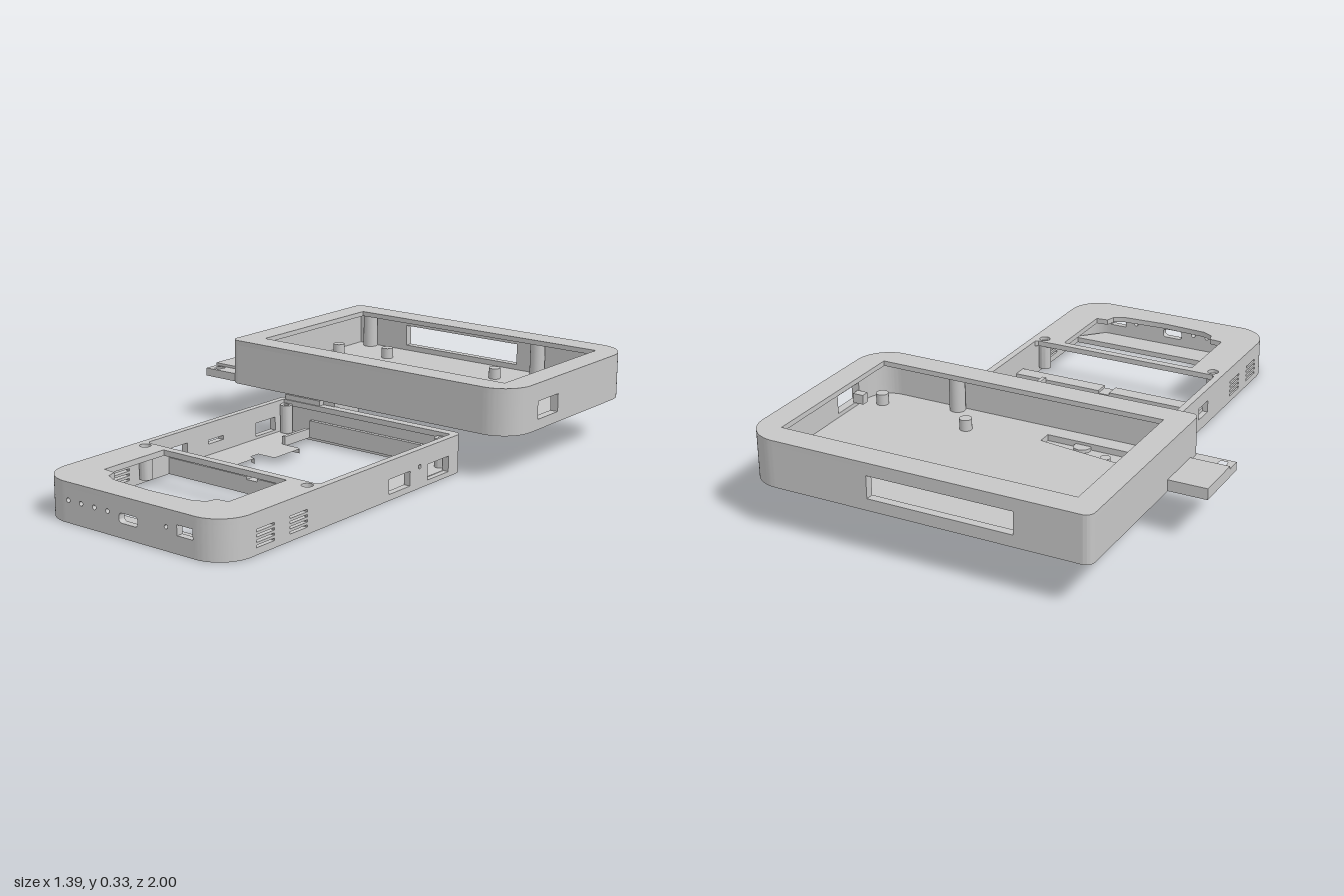
import * as THREE from 'three';
import { toCreasedNormals } from 'three/addons/utils/BufferGeometryUtils.js';

const casing = new THREE.MeshStandardMaterial({ color: 0xc6c6c6 });
casing.name = 'light grey casing';

function add(group, name, geometry, x = 0, y = 0, z = 0) {
  const mesh = new THREE.Mesh(geometry, casing);
  mesh.name = name;
  mesh.position.set(x, y, z);
  group.add(mesh);
  return mesh;
}

const extrude = (shape, depth) => toCreasedNormals(
  new THREE.ExtrudeGeometry(shape, { depth, bevelEnabled: false, curveSegments: 14 }), 0.5);

// Box given by its limits
const block = (group, name, x0, x1, y0, y1, z0, z1) => add(group, name,
  new THREE.BoxGeometry(x1 - x0, y1 - y0, z1 - z0), (x0 + x1) / 2, (y0 + y1) / 2, (z0 + z1) / 2);

const post = (group, name, x, z, r, y0, y1) => add(group, name,
  new THREE.CylinderGeometry(r, r, y1 - y0, 20), x, (y0 + y1) / 2, z);

// Horizontal plate between two heights; shapes are drawn in (x, -z)
const plate = (group, name, shape, y0, y1) =>
  add(group, name, extrude(shape, y1 - y0).rotateX(-Math.PI / 2), 0, y0, 0);

const polygon = (pts) => new THREE.Shape(pts.map(([x, z]) => new THREE.Vector2(x, -z)));
const rect = (a, b, c, d) => new THREE.Path(
  [[a, c], [b, c], [b, d], [a, d]].map(([u, v]) => new THREE.Vector2(u, v)));
const circle = (x, y, r) => new THREE.Path().absarc(x, y, r, 0, Math.PI * 2, true);

// Rounded corners in order: back +x, back -x, front -x, front +x
function corners({ x0, x1, z0, z1, radii: [a, b, c, d] }) {
  return [[x1 - a, -z0 - a, a], [x0 + b, -z0 - b, b], [x0 + c, -z1 + c, c], [x1 - d, -z1 + d, d]];
}

function outline(box) {
  const shape = new THREE.Shape();
  corners(box).forEach(([x, y, r], i) =>
    shape.absarc(x, y, r, i * Math.PI / 2, (i + 1) * Math.PI / 2, false));
  shape.closePath();
  return shape;
}

// Upright walls with openings per side, joined by rounded corners
function walls(group, name, box, y0, y1, t, holes) {
  const { x0, x1, z0, z1, radii: [a, b, c, d] } = box;
  const panel = (u0, u1, side) => {
    const shape = new THREE.Shape(rect(u0, u1, y0, y1).getPoints());
    shape.holes.push(...(holes[side] || []));
    return extrude(shape, t);
  };
  add(group, name + 'FrontWall', panel(x0 + c, x1 - d, 'front'), 0, 0, z1 - t);
  add(group, name + 'BackWall', panel(x0 + b, x1 - a, 'back'), 0, 0, z0);
  add(group, name + 'LeftWall', panel(z0 + a, z1 - d, 'left').rotateY(-Math.PI / 2), x1);
  add(group, name + 'RightWall', panel(z0 + b, z1 - c, 'right').rotateY(-Math.PI / 2), x0 + t);
  corners(box).forEach(([x, y, r], i) => {
    const s = i * Math.PI / 2, e = s + Math.PI / 2;
    const arc = new THREE.Shape().absarc(x, y, r, s, e, false);
    arc.absarc(x, y, Math.max(r - t, 0.004), e, s, true);
    plate(group, name + 'Corner', arc, y0, y1);
  });
}

function createBase() {
  const base = new THREE.Group();
  base.name = 'base';
  const box = { x0: -0.33, x1: 0.468, z0: -0.245, z1: 1, radii: [0.03, 0.03, 0.12, 0.12] };

  // Side openings: vents, ports and pin holes
  const vents = () => [0.61, 0.77].flatMap((z) =>
    [0.024, 0.041, 0.058, 0.075].map((y) => rect(z, z + 0.085, y, y + 0.008)));
  const socket = outline({ x0: 0.03, x1: 0.11, z0: -0.083, z1: -0.05, radii: [0.012, 0.012, 0.012, 0.012] });
  walls(base, 'base', box, 0, 0.118, 0.025, {
    front: [
      ...[-0.195, -0.137, -0.078, -0.02].map((x) => circle(x, 0.077, 0.008)),
      socket, circle(0.23, 0.079, 0.007), rect(0.275, 0.34, 0.06, 0.095),
    ],
    left: [...vents(), rect(0.06, 0.18, 0.022, 0.074), circle(0.005, 0.077, 0.008),
      rect(-0.165, -0.04, 0.018, 0.074)],
    right: [...vents(), rect(0.32, 0.4, 0.045, 0.09), rect(0.13, 0.21, 0.06, 0.075),
      rect(-0.16, -0.05, 0.03, 0.08)],
  });

  // Top cover with the large bay, front window and screw holes
  const cover = outline(box);
  const screws = [[-0.285, 0.55], [0.42, 0.55]];
  cover.holes.push(
    polygon([[-0.305, -0.21], [0.442, -0.21], [0.442, 0.51], [0.432, 0.52], [-0.295, 0.52], [-0.305, 0.51]]),
    polygon([[-0.2, 0.55], [0.335, 0.55], [0.335, 0.83], [0.29, 0.835], [0.28, 0.87], [0.24, 0.89],
      [0.07, 0.9], [-0.1, 0.89], [-0.14, 0.87], [-0.15, 0.835], [-0.2, 0.83]]),
    ...screws.map(([x, z]) => circle(x, -z, 0.02)));
  plate(base, 'topCover', cover, 0.118, 0.138);

  // Floor lip along the front end
  plate(base, 'frontLip', polygon([[-0.31, 0.875], [0.448, 0.875], [0.448, 0.89], [0.36, 0.98],
    [-0.22, 0.98], [-0.31, 0.89]]), 0, 0.02);

  // Floor with a cutout around the board tab
  const floor = polygon([[-0.31, -0.23], [0.448, -0.23], [0.448, 0.415], [-0.31, 0.415]]);
  floor.holes.push(polygon([[-0.175, -0.2], [0.315, -0.2], [0.315, 0.36], [-0.15, 0.36], [-0.15, 0.14],
    [-0.175, 0.13], [-0.175, 0.09], [-0.11, 0.09], [-0.1, 0.08], [-0.1, -0.05], [-0.11, -0.06], [-0.175, -0.06]]));
  plate(base, 'floor', floor, 0, 0.02);

  // Rims and cross bar around the cutout
  block(base, 'crossBar', -0.31, 0.05, 0.015, 0.06, 0.36, 0.415);
  block(base, 'crossBar', 0.095, 0.448, 0.015, 0.06, 0.36, 0.415);
  block(base, 'crossBarNotch', 0.05, 0.095, 0.015, 0.05, 0.36, 0.415);
  block(base, 'cutoutRim', 0.315, 0.33, 0.015, 0.07, -0.2, 0.36);
  block(base, 'cutoutRim', -0.175, 0.33, 0.015, 0.08, -0.215, -0.2);
  block(base, 'cutoutRim', -0.19, -0.175, 0.015, 0.05, -0.2, -0.06);
  post(base, 'standoff', 0.41, 0.24, 0.045, 0.015, 0.03);

  // Hollow screw bosses
  [...screws, [-0.28, -0.195], [0.415, -0.195]].forEach(([x, z]) => {
    const ring = new THREE.Shape().absarc(x, -z, 0.023, 0, Math.PI * 2, false);
    ring.holes.push(circle(x, -z, 0.01));
    plate(base, 'screwBoss', ring, 0.02, 0.125);
  });
  block(base, 'sideButton', -0.337, -0.325, 0.075, 0.125, 0.02, 0.11);
  return base;
}

function createHinge() {
  const hinge = new THREE.Group();
  hinge.name = 'hinge';
  block(hinge, 'hingeBlock', -0.23, -0.09, 0, 0.158, -0.385, -0.24);
  block(hinge, 'hingeKnuckle', -0.325, -0.23, 0.03, 0.138, -0.36, -0.24);
  block(hinge, 'hingeLeaf', -0.33, -0.04, 0.156, 0.163, -0.365, -0.28);
  block(hinge, 'hingeBridge', -0.3, -0.14, 0.138, 0.157, -0.3, -0.215);
  post(hinge, 'hingePivot', -0.175, -0.305, 0.03, 0.16, 0.175);
  post(hinge, 'hingeScrew', -0.285, -0.355, 0.018, 0.16, 0.18);
  add(hinge, 'hingePin', new THREE.CylinderGeometry(0.03, 0.03, 0.26, 20).rotateZ(Math.PI / 2), -0.21, 0.05, -0.29);
  return hinge;
}

function createScreenCase() {
  const screen = new THREE.Group();
  screen.name = 'screenCase';
  const box = { x0: -0.555, x1: 0.695, z0: -1, z1: -0.205, radii: [0.12, 0.03, 0.03, 0.12] };
  walls(screen, 'screen', box, 0.163, 0.312, 0.03, {
    back: [rect(-0.295, 0.225, 0.205, 0.285)],
    left: [rect(-0.5, -0.37, 0.2, 0.265)],
  });

  // Top frame around the display opening
  const frame = outline(box);
  frame.holes.push(polygon([[-0.465, -0.905], [0.605, -0.905], [0.605, -0.295], [-0.465, -0.295]]));
  plate(screen, 'topFrame', frame, 0.312, 0.33);

  // Floor with the wedge opening over the hinge, and screw recesses
  const screws = [[-0.46, -0.95], [0.33, -0.95], [0.335, -0.255]];
  const floor = outline({ x0: -0.535, x1: 0.675, z0: -0.98, z1: -0.225, radii: [0.1, 0.01, 0.01, 0.1] });
  floor.holes.push(polygon([[-0.465, -0.4], [-0.04, -0.345], [-0.04, -0.295], [-0.465, -0.295]]),
    ...screws.map(([x, z]) => circle(x, -z, 0.016)));
  plate(screen, 'screenFloor', floor, 0.163, 0.185);
  block(screen, 'portShelf', 0.63, 0.67, 0.2, 0.235, -0.4, -0.37);

  // Short standoffs on the floor and tall posts up to the frame
  [[-0.28, -0.82], [0.23, -0.81], [0.23, -0.38], [0.5, -0.885], [0.595, -0.33], [-0.47, -0.755]].forEach(([x, z]) =>
    post(screen, 'standoff', x, z, 0.022, 0.18, 0.225));
  screws.forEach(([x, z]) => post(screen, 'tallPost', x, z, 0.028, 0.17, 0.313));

  // Side tab with a small eyelet
  block(screen, 'sideTab', -0.695, -0.54, 0.165, 0.205, -0.455, -0.275);
  const lip = polygon([[-0.695, -0.275], [-0.54, -0.275], [-0.54, -0.218], [-0.695, -0.218]]);
  lip.holes.push(polygon([[-0.675, -0.265], [-0.64, -0.27], [-0.645, -0.232], [-0.67, -0.232]]));
  plate(screen, 'tabLip', lip, 0.165, 0.195);
  return screen;
}

export function createModel() {
  const model = new THREE.Group();
  model.name = 'handheldCase';
  model.add(createBase(), createHinge(), createScreenCase());
  return model;
}
